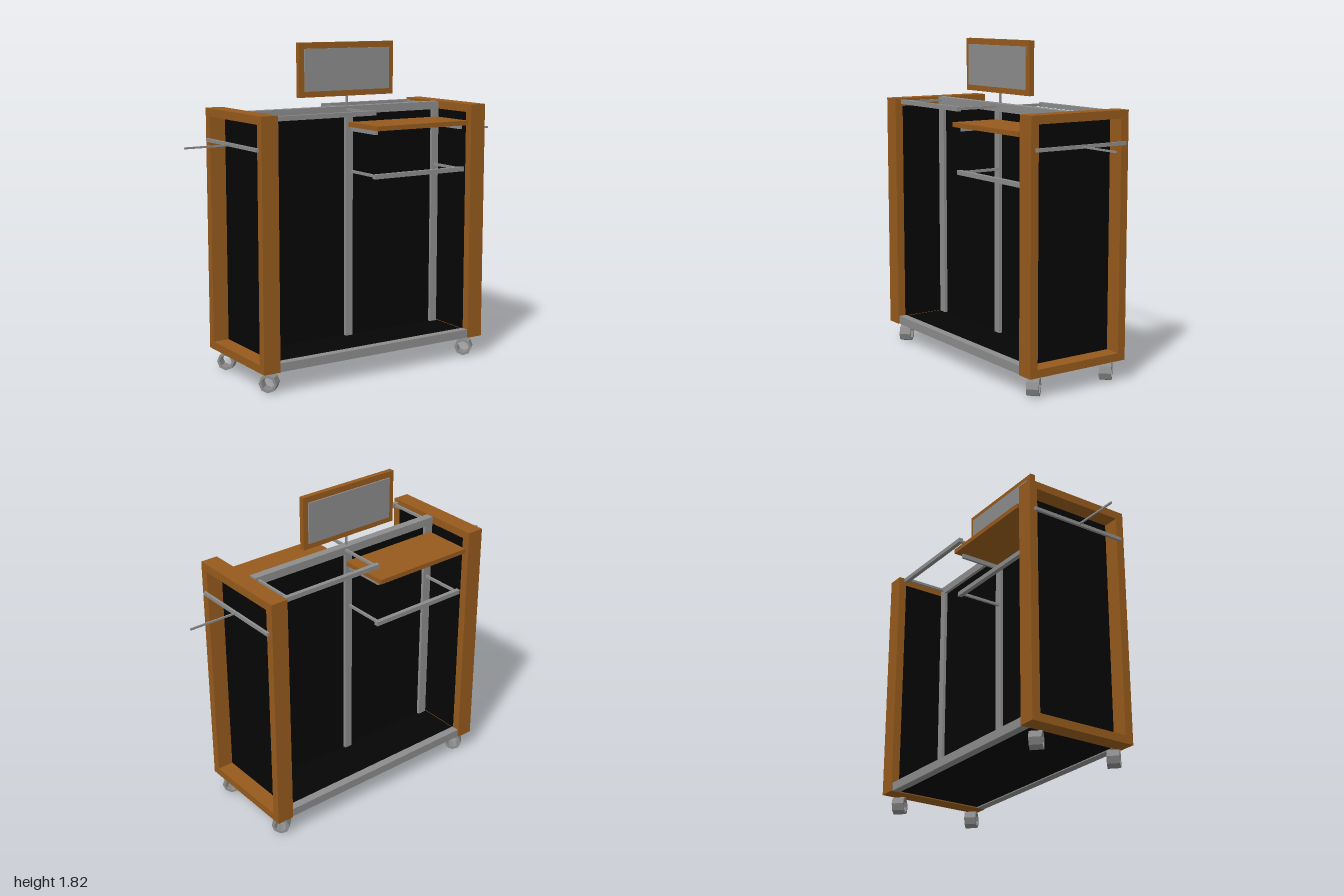
import * as THREE from 'three';

const wood = new THREE.MeshStandardMaterial({ name: 'wood', color: 0x965a1c });
const steel = new THREE.MeshStandardMaterial({ name: 'steel', color: 0x8c8c8c });
const black = new THREE.MeshStandardMaterial({ name: 'blackPanel', color: 0x050505 });

// Box given by its lower and upper limits on each axis
function box(parent, name, mat, [x0, x1], [y0, y1], [z0, z1]) {
  const mesh = new THREE.Mesh(new THREE.BoxGeometry(x1 - x0, y1 - y0, z1 - z0), mat);
  mesh.position.set((x0 + x1) / 2, (y0 + y1) / 2, (z0 + z1) / 2);
  mesh.name = name;
  parent.add(mesh);
}

function rectangle(Type, x0, x1, y0, y1) {
  return new Type([[x0, y0], [x1, y0], [x1, y1], [x0, y1]].map(p => new THREE.Vector2(...p)));
}

// Hanging rail with its two support arms running out from the centre wall
function hangRail(parent, x0, x1, y) {
  const rail = new THREE.Group();
  rail.name = 'hangRail';
  box(rail, 'railBar', steel, [x0, x1], [y, y + 0.025], [0.262, 0.287]);
  for (const x of [x0 + 0.02, x1 - 0.015]) {
    box(rail, 'railArm', steel, [x - 0.006, x + 0.006], [y + 0.005, y + 0.02], [0.02, 0.265]);
  }
  parent.add(rail);
}

// Everything on one half; the other half is the same turned by 180 degrees
function createHalf() {
  const half = new THREE.Group();
  half.name = 'standHalf';

  // Wooden end frame, closed by a thin panel close to its inner side
  const shape = rectangle(THREE.Shape, -0.315, 0.315, 0.118, 1.47);
  shape.holes.push(rectangle(THREE.Path, -0.268, 0.268, 0.162, 1.425));
  const frame = new THREE.Mesh(
    new THREE.ExtrudeGeometry(shape, { depth: 0.098, bevelEnabled: false }), wood);
  frame.name = 'endFrame';
  frame.rotation.y = Math.PI / 2;
  frame.position.x = 0.622;
  half.add(frame);
  box(half, 'endPanel', black, [0.6235, 0.627], [0.162, 1.425], [-0.268, 0.268]);

  // Side bar and the thin prong on the outside of the end frame
  box(half, 'sideBar', steel, [0.72, 0.735], [1.287, 1.306], [-0.29, 0.288]);
  box(half, 'sideProng', steel, [0.73, 1], [1.291, 1.301], [-0.004, 0.004]);

  // Base rail, shelf and its brackets
  box(half, 'baseRail', steel, [-0.622, 0.622], [0.118, 0.166], [0.262, 0.309]);
  box(half, 'shelf', wood, [-0.01, 0.602], [1.355, 1.381], [0.02, 0.312]);
  for (const x of [0.012, 0.585]) {
    box(half, 'shelfBracket', steel, [x - 0.007, x + 0.007], [1.33, 1.355], [0.02, 0.27]);
  }

  hangRail(half, -0.61, -0.001, 1.438);
  hangRail(half, -0.008, 0.6, 1.091);

  // Castors: faceted rings turned diagonally
  const profile = [[0.035, -0.033], [0.05, -0.033], [0.05, 0.033], [0.035, 0.033], [0.035, -0.033]]
    .map(p => new THREE.Vector2(...p));
  const ring = new THREE.LatheGeometry(profile, 8).toNonIndexed();
  ring.computeVertexNormals();
  ring.rotateX(Math.PI / 2);
  for (const z of [-0.242, 0.242]) {
    const castor = new THREE.Mesh(ring, steel);
    castor.name = 'castor';
    castor.position.set(0.65, 0.05, z);
    castor.rotation.y = Math.PI * 0.75;
    half.add(castor);
  }
  return half;
}

export function createModel() {
  const stand = new THREE.Group();
  stand.name = 'displayStand';
  const front = createHalf();
  const back = createHalf();
  back.rotation.y = Math.PI;
  stand.add(front, back);

  // Floor and centre wall
  box(stand, 'floor', black, [-0.622, 0.622], [0.124, 0.16], [-0.263, 0.263]);
  box(stand, 'centreWall', black, [-0.58, 0.58], [0.16, 1.43], [-0.005, 0.005]);
  for (const [x0, x1] of [[-0.616, -0.563], [-0.028, 0.018], [0.567, 0.612]]) {
    box(stand, 'post', steel, [x0, x1], [0.16, 1.425], [-0.023, 0.023]);
  }
  box(stand, 'topBeam', steel, [-0.617, 0.612], [1.425, 1.47], [-0.024, 0.023]);

  // Sign board on a short stem
  const sign = new THREE.Group();
  sign.name = 'sign';
  const stem = new THREE.Mesh(new THREE.CylinderGeometry(0.007, 0.007, 0.08, 8), steel);
  stem.name = 'signStem';
  stem.position.set(-0.007, 1.5, 0);
  sign.add(stem);
  box(sign, 'signFrame', wood, [-0.321, 0.292], [1.527, 1.823], [-0.015, 0.015]);
  for (const z of [-0.019, 0.019]) {
    box(sign, 'signFace', steel, [-0.289, 0.261], [1.559, 1.79], [z - 0.0045, z + 0.0045]);
  }
  stand.add(sign);
  return stand;
}
